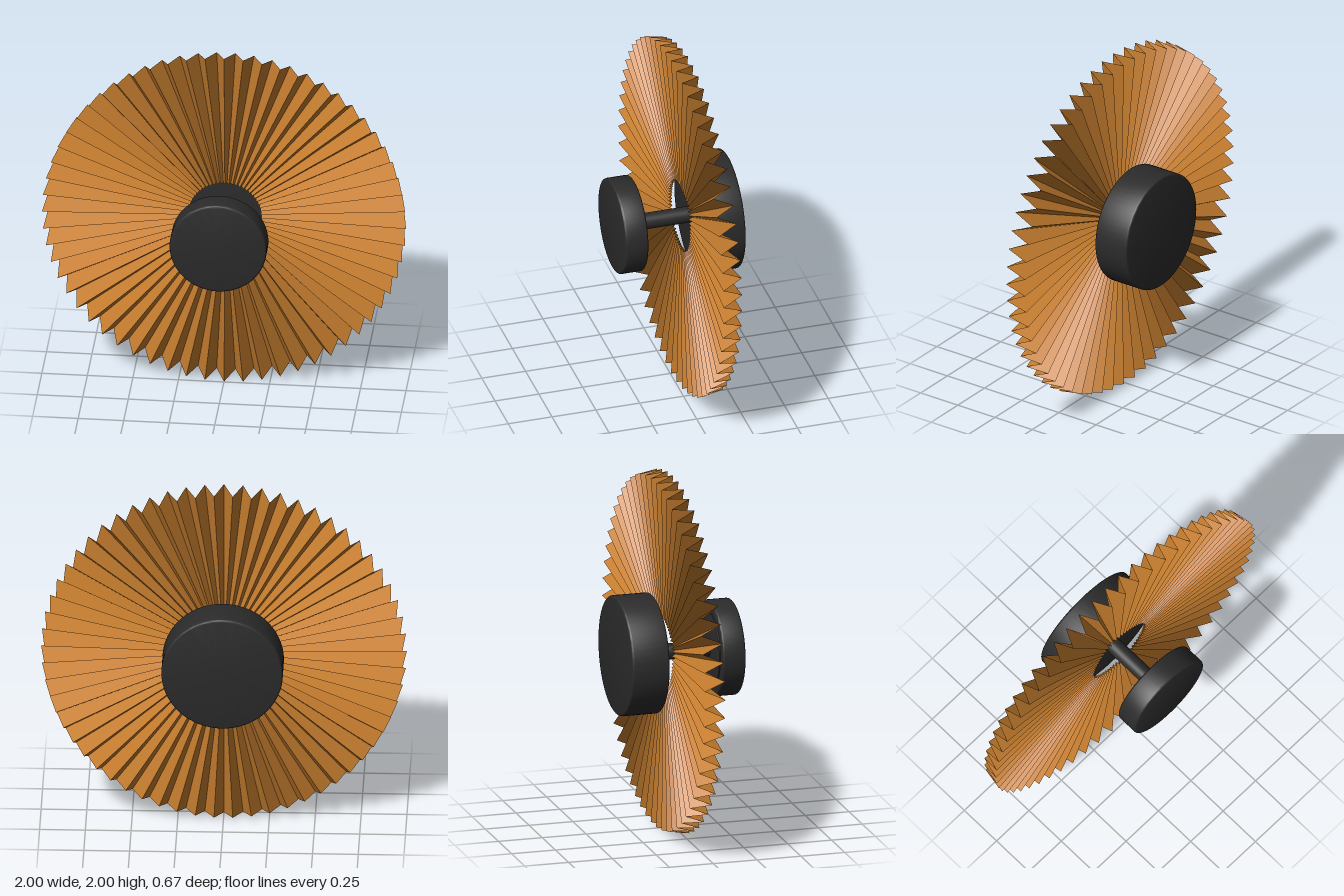
import * as THREE from 'three';
import { toCreasedNormals } from 'three/addons/utils/BufferGeometryUtils.js';

const brass = new THREE.MeshStandardMaterial({ color: 0xc47c2e, side: THREE.DoubleSide });
brass.name = 'amber pleats';
brass.flatShading = true;
const black = new THREE.MeshStandardMaterial({ color: 0x2b2b2b });
black.name = 'matte black';

// Solid disc along z from z0 to z1 with softly rounded rims
function disc(name, radius, z0, z1, bevel) {
  const points = [new THREE.Vector2(0, z0)];
  for (const [zc, start] of [[z0 + bevel, -Math.PI / 2], [z1 - bevel, 0]]) {
    for (let i = 0; i <= 4; i++) {
      const a = start + (i / 4) * (Math.PI / 2);
      points.push(new THREE.Vector2(radius - bevel + bevel * Math.cos(a), zc + bevel * Math.sin(a)));
    }
  }
  points.push(new THREE.Vector2(0, z1));
  const geometry = new THREE.LatheGeometry(points, 64).rotateX(Math.PI / 2);
  const mesh = new THREE.Mesh(toCreasedNormals(geometry, 0.5), black);
  mesh.name = name;
  return mesh;
}

// Radially folded sheet: fold depth grows with the distance from the axis
function pleatedShade(pleats, inner, midZ, depth) {
  const corner = (i, isRim) => {
    const ridge = i % 2 === 0;
    const a = (i / (pleats * 2)) * Math.PI * 2;
    const r = isRim ? (ridge ? 1 : 0.98) : inner;
    const z = midZ + (ridge ? 1 : -1) * depth * (isRim ? 1 : inner);
    return [r * Math.cos(a), r * Math.sin(a), z];
  };
  const positions = [];
  for (let i = 0; i < pleats * 2; i++) {
    const a = corner(i, false), b = corner(i, true);
    const c = corner(i + 1, true), d = corner(i + 1, false);
    positions.push(...a, ...b, ...c, ...a, ...c, ...d);
  }
  const geometry = new THREE.BufferGeometry();
  geometry.setAttribute('position', new THREE.Float32BufferAttribute(positions, 3));
  geometry.computeVertexNormals();
  const mesh = new THREE.Mesh(geometry, brass);
  mesh.name = 'pleatedShade';
  return mesh;
}

export function createModel() {
  const model = new THREE.Group();
  model.name = 'pleatedWallLamp';

  // Wall mount, stem and front cap share one axis
  model.add(disc('wallMount', 0.332, -0.333, -0.12, 0.012));
  const stem = new THREE.Mesh(new THREE.CylinderGeometry(0.045, 0.045, 0.36, 32).rotateX(Math.PI / 2), black);
  stem.name = 'stem';
  stem.position.z = 0.04;
  model.add(stem);
  model.add(disc('frontCap', 0.266, 0.202, 0.333, 0.012));
  model.add(disc('capBackPlate', 0.215, 0.196, 0.21, 0.002));

  model.add(pleatedShade(60, 0.2, -0.06, 0.056));

  for (const part of model.children) part.position.y = 1;
  return model;
}
